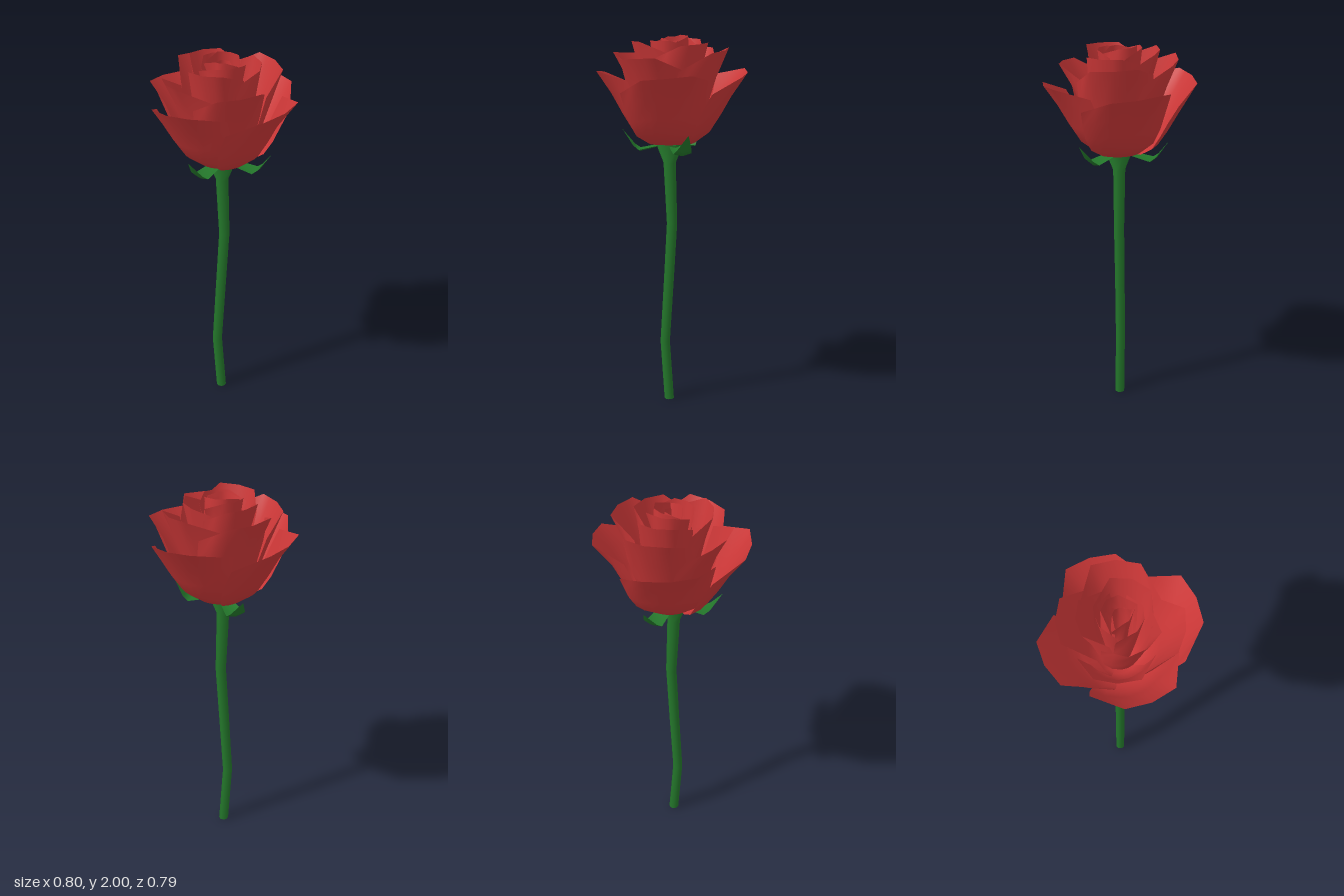
import * as THREE from 'three';

const red = new THREE.MeshStandardMaterial({ color: 0xcb3737, side: THREE.DoubleSide });
red.name = 'petal red';
const green = new THREE.MeshStandardMaterial({ color: 0x23762a, side: THREE.DoubleSide });
green.name = 'stem green';

// Smooth surface through a grid of points, rows of equal length
function sheet(rows) {
  const n = rows[0].length, index = [];
  for (let r = 0; r < rows.length - 1; r++)
    for (let c = 0; c < n - 1; c++) {
      const a = r * n + c, b = a + n;
      index.push(a, b, a + 1, a + 1, b, b + 1);
    }
  const g = new THREE.BufferGeometry();
  g.setAttribute('position', new THREE.Float32BufferAttribute(rows.flat(2), 3));
  g.setIndex(index);
  g.computeVertexNormals();
  return g;
}

// Cup profile shared by all petals: height fraction, radius factor, widening
const CUP = [[0, 0, 1.1], [0.03, 0.5, 1.15], [0.19, 0.82, 1.2], [0.43, 1.05, 1.18], [0.7, 1.28, 1.1]];
const RIM = [-1, -0.4, 0, 0.4, 1];
const TUCK = 0.06; // the leading side lies outside its neighbour, the other inside

// A petal rises along the cup profile and flares to a tilted five-point rim
function petalGeometry({ cup, base, drop, corner, tilt }, [angle, span, radius, top]) {
  const mid = THREE.MathUtils.degToRad(angle), half = THREE.MathUtils.degToRad(span);
  const rimPoint = u => {
    const edge = Math.abs(u) === 1;
    const r = radius * (edge ? corner * (1 + TUCK * u) : 1), a = mid + u * half;
    return new THREE.Vector3(r * Math.cos(a), top - tilt * u - (edge ? drop : 0), r * Math.sin(a));
  };
  // rim corners with a point halfway along each straight edge
  const columns = RIM.flatMap((u, i) => {
    const p = rimPoint(u);
    if (i === RIM.length - 1) return [{ u, p }];
    const v = RIM[i + 1];
    return [{ u, p }, { u: (u + v) / 2, p: p.clone().lerp(rimPoint(v), 0.5) }];
  });
  const rows = CUP.map(([h, k, wide]) => columns.map(({ u, p }) => {
    const a = mid + u * half * wide;
    const r = cup * k * (1 + TUCK * u) * (1 - 0.2 * h * u * u);
    return [r * Math.cos(a), base + h * (p.y - base), r * Math.sin(a)];
  }));
  rows.push(columns.map(({ p }) => p.toArray()));
  return sheet(rows);
}

// Each petal: direction and half span in degrees (0 = +x, 90 = +z), rim radius, top height
const LAYERS = [
  { name: 'outerPetal', cup: 0.25, base: 1.43, drop: 0.06, corner: 0.8, tilt: 0.03,
    petals: [1, 89, 181, 265].map(a => [a, 47, 0.398, 1.81]) },
  { name: 'middlePetal', cup: 0.188, base: 1.44, drop: 0.08, corner: 0.76, tilt: 0.02,
    petals: [[19, 58, 0.3, 1.93], [122, 52, 0.31, 1.895], [205, 52, 0.31, 1.9], [290, 58, 0.3, 1.93]] },
  { name: 'innerPetal', cup: 0.128, base: 1.45, drop: 0.06, corner: 0.78, tilt: 0.01,
    petals: [[40, 78, 0.195, 1.96], [165, 68, 0.21, 1.97], [287, 66, 0.205, 1.975]] },
  { name: 'budPetal', cup: 0.075, base: 1.46, drop: 0.03, corner: 1.05, tilt: 0.005,
    petals: [[287, 74, 0.115, 1.985], [125, 86, 0.115, 1.975], [-22, 100, 0.09, 1.995]] },
  { name: 'budCore', cup: 0.035, base: 1.47, drop: 0.02, corner: 1.7, tilt: 0,
    petals: [[155, 74, 0.055, 1.985], [-25, 106, 0.036, 1.97]] },
];

// Stem rings from top to bottom: y, x, z, radius
const STEM = [[1.432, -0.01, 0, 0.075], [1.41, -0.01, 0, 0.064], [1.33, -0.01, 0, 0.033],
  [1.0, 0.003, 0.004, 0.028], [0.68, -0.015, -0.005, 0.027], [0.33, -0.036, -0.013, 0.026], [0, -0.013, -0.004, 0.026]];

function stemGeometry() {
  const n = STEM.length - 1;
  const g = new THREE.CylinderGeometry(1, 1, n, 8, n);
  const p = g.attributes.position;
  for (let i = 0; i < p.count; i++) {
    const [y, x, z, r] = STEM[Math.round(n / 2 - p.getY(i))];
    p.setXYZ(i, x + p.getX(i) * r, y, z + p.getZ(i) * r);
  }
  return g;
}

// Sepal stations along +x: distance, height, half width
const SEPAL = [[0.03, 1.425, 0.025], [0.09, 1.41, 0.04], [0.17, 1.39, 0.05], [0.2, 1.415, 0.04], [0.26, 1.505, 0.002]];

export function createModel() {
  const model = new THREE.Group();
  model.name = 'rose';
  const add = (parent, name, geometry, material) => {
    const mesh = new THREE.Mesh(geometry, material);
    mesh.name = name;
    parent.add(mesh);
    return mesh;
  };

  // Flower head
  const bloom = new THREE.Group();
  bloom.name = 'bloom';
  model.add(bloom);
  for (const layer of LAYERS)
    for (const petal of layer.petals) add(bloom, layer.name, petalGeometry(layer, petal), red);

  // Bent stem widening into the receptacle
  add(model, 'stem', stemGeometry(), green);

  // Three curled sepals with a slight keel
  const sepal = sheet(SEPAL.map(([x, y, w]) => [[x, y + w * 0.25, -w], [x, y, 0], [x, y + w * 0.25, w]]));
  for (const angle of [180, 66, -64])
    add(model, 'sepal', sepal, green).rotation.y = -THREE.MathUtils.degToRad(angle);

  return model;
}
